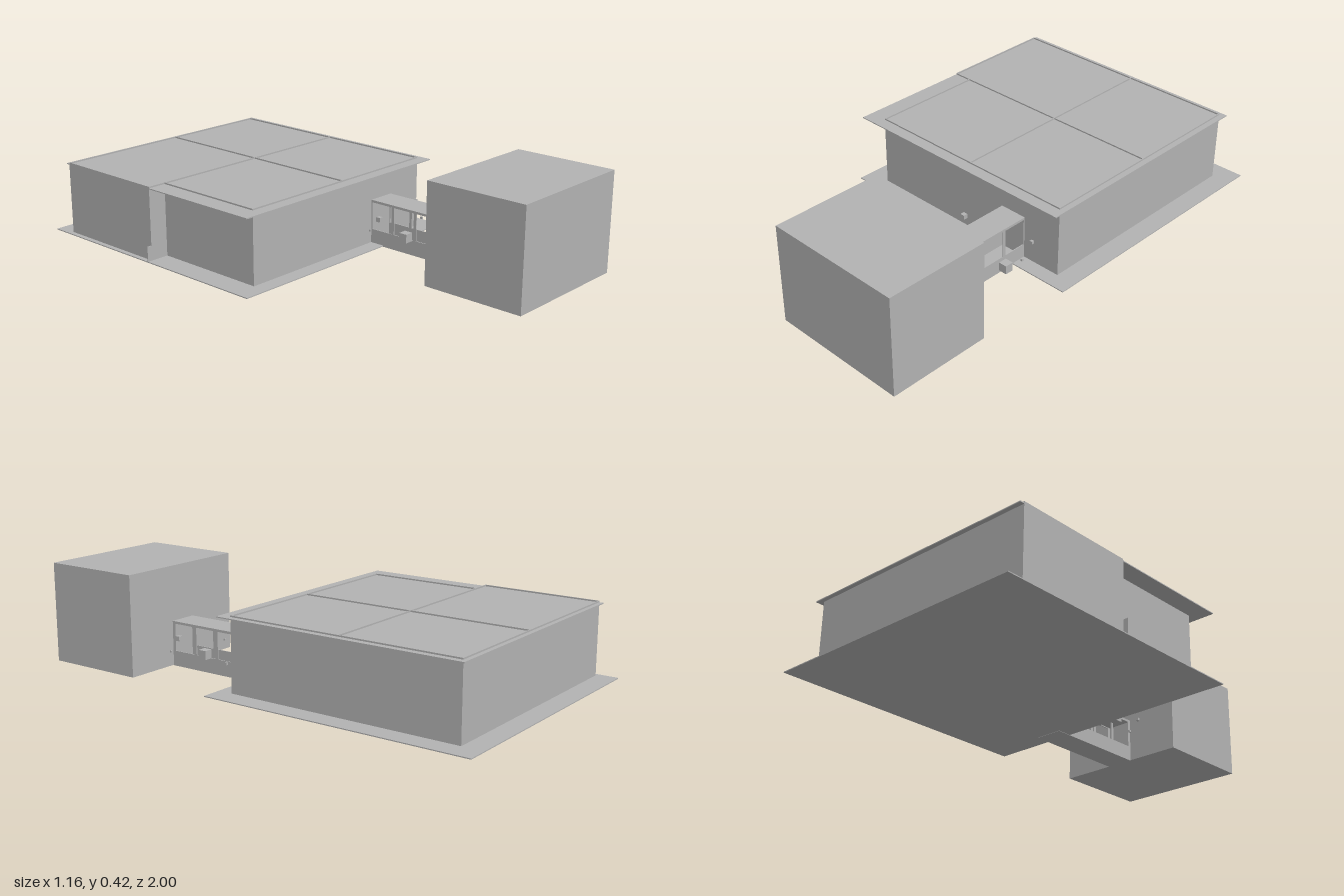
import * as THREE from 'three';

export function createModel() {
  const model = new THREE.Group();
  model.name = 'buildingComplex';
  const grey = new THREE.MeshStandardMaterial({ color: 0xb2b2b2 });
  grey.name = 'plain grey';
  const T = 0.004; // sheet thickness

  // Box given by its minimum and maximum corners
  function slab(parent, name, [x0, y0, z0], [x1, y1, z1]) {
    const mesh = new THREE.Mesh(new THREE.BoxGeometry(x1 - x0, y1 - y0, z1 - z0), grey);
    mesh.position.set((x0 + x1) / 2, (y0 + y1) / 2, (z0 + z1) / 2);
    mesh.name = name;
    parent.add(mesh);
    return mesh;
  }
  function group(name) {
    const g = new THREE.Group();
    g.name = name;
    model.add(g);
    return g;
  }

  // Main hall: floor sheet, stepped outer walls, overhanging roof
  const hall = group('hall');
  const top = 0.313, zF = 0.1, zB = -0.912, xL = -0.56, xS = -0.48, xR = 0.495, zM = -0.4;
  slab(hall, 'hallFloor', [-0.58, 0.002, -1], [0.58, 0.006, 0.165]);
  slab(hall, 'hallRoof', [xL, 0.303, -0.93], [0.52, 0.307, 0.15]);
  const wall = (name, x0, z0, x1, z1) => slab(hall, name, [x0, 0.004, z0], [x1, top, z1]);
  wall('frontWall', xS, zF - T, xR, zF);
  wall('backWall', xL, zB, xR, zB + T);
  wall('rightWall', xR - T, zB, xR, zF);
  wall('leftWallRear', xL, zB, xL + T, zM);
  wall('leftWallFront', xS, zM, xS + T, zF);
  // Inner partitions whose tops show as a cross on the roof
  wall('crossPartition', xL, zM - T / 2, xR, zM + T / 2);
  wall('longPartition', 0.02, zB, 0.02 + T, zF);
  slab(hall, 'lowFin', [-0.58, 0.004, zM - T / 2], [xL, 0.068, zM + T / 2]);

  // Annex block
  const annex = group('annex');
  slab(annex, 'annexBlock', [-0.035, 0.003, 0.565], [0.557, 0.42, 1]);

  // Corridor joining the two, with open windows on both sides
  const corridor = group('corridor');
  slab(corridor, 'corridorFloor', [0.2, 0.001, 0.1], [0.32, 0.006, 0.565]);
  slab(corridor, 'corridorRoof', [0.2, 0.184, 0.1], [0.32, 0.19, 0.565]);
  const rect = (path, x0, y0, x1, y1) =>
    path.moveTo(x0, y0).lineTo(x1, y0).lineTo(x1, y1).lineTo(x0, y1).closePath();
  const side = rect(new THREE.Shape(), 0.1, 0.003, 0.565, 0.186);
  for (let i = 0; i < 4; i++) {
    const z = 0.105 + i * 0.1147;
    side.holes.push(rect(new THREE.Path(), z, 0.065, z + 0.102, 0.18));
  }
  const sideGeo = new THREE.ExtrudeGeometry(side, { depth: T, bevelEnabled: false });
  for (const [name, x] of [['corridorLeftWall', 0.32], ['corridorRightWall', 0.2 + T]]) {
    const mesh = new THREE.Mesh(sideGeo, grey);
    mesh.rotation.y = -Math.PI / 2;
    mesh.position.x = x;
    mesh.name = name;
    corridor.add(mesh);
  }

  // Small cubes floating beside the corridor: x, y, z, size
  const cubes = group('floatingCubes');
  [
    [0.108, 0.112, 0.355, 0.036], [0.415, 0.112, 0.304, 0.036],
    [0.108, 0.155, 0.22, 0.019], [0.415, 0.155, 0.442, 0.019],
    [0.105, 0.15, 0.502, 0.012], [0.413, 0.15, 0.16, 0.012],
    [0.118, 0.086, 0.46, 0.009], [0.404, 0.086, 0.203, 0.009],
    [0.352, 0.07, 0.547, 0.008], [0.17, 0.07, 0.12, 0.008],
  ].forEach(([x, y, z, s], i) => {
    const h = s / 2;
    slab(cubes, 'cube' + (i + 1), [x - h, y - h, z - h], [x + h, y + h, z + h]);
  });

  return model;
}
